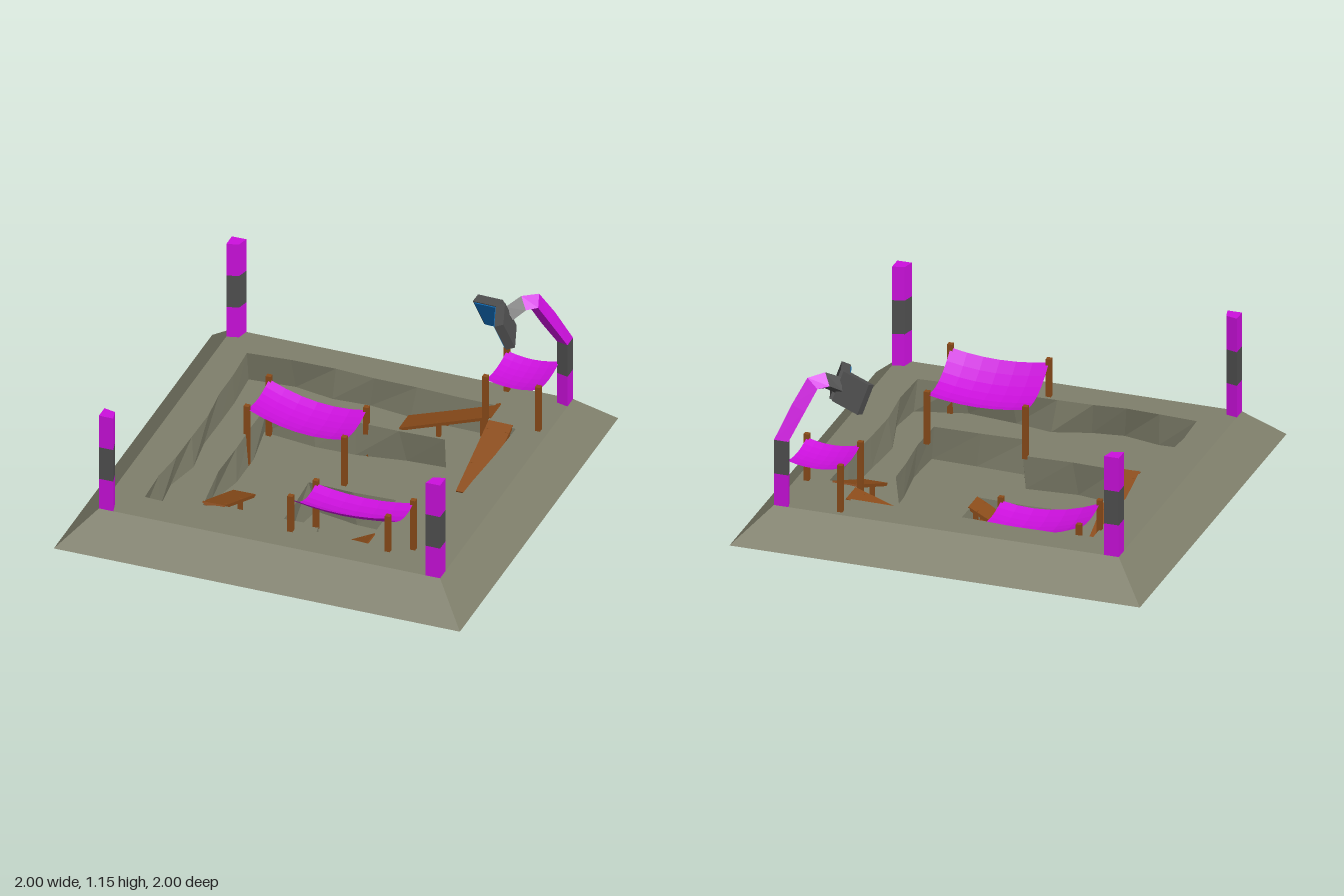
import * as THREE from 'three';

const mat = (color) => new THREE.MeshStandardMaterial({ color, flatShading: true, side: THREE.DoubleSide });
const stone = mat(0x7f7f6b), purple = mat(0xcc10dd), dark = mat(0x505050), wood = mat(0x8b4c1a), blue = mat(0x0f6ab4);

let seed = 7;
const rand = () => (seed = (seed * 16807) % 2147483647) / 2147483647 - 0.5;

function add(parent, name, geometry, material, x = 0, y = 0, z = 0) {
  const m = new THREE.Mesh(geometry, material);
  m.name = name;
  m.position.set(x, y, z);
  parent.add(m);
  return m;
}

// Joins equal-sized rings of [x, y, z] points with quads
function loft(rings, caps = false) {
  const n = rings[0].length, index = [];
  for (let r = 0; r < rings.length - 1; r++) {
    for (let i = 0; i < n; i++) {
      const a = r * n + i, b = r * n + (i + 1) % n;
      index.push(a, b, a + n, b, b + n, a + n);
    }
  }
  if (caps) {
    for (const o of [0, (rings.length - 1) * n]) for (let i = 1; i < n - 1; i++) index.push(o, o + i, o + i + 1);
  }
  const g = new THREE.BufferGeometry();
  g.setAttribute('position', new THREE.Float32BufferAttribute(rings.flat(2), 3));
  g.setIndex(index);
  g.computeVertexNormals();
  return g;
}

// Flat floor from an [x, z] outline with an optional hole
function floor(outline, hole) {
  const pts = (o) => o.map(([x, z]) => new THREE.Vector2(x, -z));
  const s = new THREE.Shape(pts(outline));
  if (hole) s.holes.push(new THREE.Path(pts(hole)));
  return new THREE.ShapeGeometry(s).rotateX(-Math.PI / 2);
}

const square = (r) => [[-r, -r], [r, -r], [r, r], [-r, r]];
const at = (outline, y) => outline.map(([x, z]) => [x, y, z]);

// Splits long edges of an outline and roughens them
function rough(outline, amount) {
  const out = [];
  outline.forEach(([x, z], i) => {
    const [x2, z2] = outline[(i + 1) % outline.length];
    const n = Math.max(1, Math.round(Math.hypot(x2 - x, z2 - z) / 0.22));
    for (let k = 0; k < n; k++) {
      const t = k / n, j = k ? amount : 0;
      out.push([x + (x2 - x) * t + rand() * j, z + (z2 - z) * t + rand() * j]);
    }
  });
  return out;
}

function buildPit(g) {
  const rims = [
    [[-0.7, -0.67], [-0.27, -0.69], [0.53, -0.66], [0.54, -0.53], [0.69, -0.5], [0.67, 0], [0.68, 0.67], [0, 0.67], [-0.33, 0.69], [-0.68, 0.67], [-0.67, 0.1]],
    [[-0.54, -0.53], [0.54, -0.53], [0.53, -0.1], [0.55, 0.53], [0.09, 0.54], [0.06, 0.37], [-0.4, 0.37], [-0.5, 0.4], [-0.54, 0.1]],
    [[-0.22, -0.22], [0.21, -0.22], [0.22, 0.22], [-0.21, 0.22]],
  ].map((r) => rough(r, 0.025));
  const levels = [0.54, 0.38, 0.21, 0.04];
  add(g, 'outerSlope', loft([at(square(1), 0.38), at(square(0.84), 0.54)]), stone);
  let outline = square(0.84);
  rims.forEach((rim, i) => {
    add(g, 'terrace', floor(outline, rim), stone, 0, levels[i], 0);
    const base = rim.map(([x, z]) => [x * 1.02 + rand() * 0.06, z * 1.02 + rand() * 0.06]);
    add(g, 'pitWall', loft([at(rim, levels[i]), at(base, levels[i + 1])]), stone);
    outline = base;
  });
  add(g, 'pitBottom', floor(outline), stone, 0, levels[3], 0);
}

// Sagging cloth; heights are [-x-z, +x-z, -x+z, +x+z]
function canopy(g, x0, x1, z0, z1, h, sagX, sagZ, base, skip = -1) {
  const c = new THREE.Group();
  c.name = 'canopy';
  const geo = new THREE.PlaneGeometry(1, 1, 6, 6).rotateX(-Math.PI / 2), p = geo.attributes.position;
  for (let i = 0; i < p.count; i++) {
    const u = p.getX(i) + 0.5, v = p.getZ(i) + 0.5;
    const y = (h[0] * (1 - u) + h[1] * u) * (1 - v) + (h[2] * (1 - u) + h[3] * u) * v;
    p.setXYZ(i, x0 + (x1 - x0) * u, y - 4 * sagX * u * (1 - u) - 4 * sagZ * v * (1 - v), z0 + (z1 - z0) * v);
  }
  geo.computeVertexNormals();
  add(c, 'cloth', geo, purple);
  [[x0, z0], [x1, z0], [x0, z1], [x1, z1]].forEach(([x, z], i) => {
    if (i === skip) return;
    const top = h[i] + 0.02;
    add(c, 'canopyPost', new THREE.BoxGeometry(0.025, top - base, 0.025), wood, x, (top + base) / 2, z);
  });
  g.add(c);
}

// Plank walkway between two points, with pegs under it
function ramp(g, from, to, width) {
  const a = new THREE.Vector3(...from), b = new THREE.Vector3(...to);
  const r = new THREE.Group();
  r.name = 'ramp';
  const plank = add(r, 'plank', new THREE.BoxGeometry(width, 0.015, a.distanceTo(b)), wood);
  plank.position.copy(a).lerp(b, 0.5);
  plank.lookAt(b);
  const side = new THREE.Vector3(b.z - a.z, 0, a.x - b.x).normalize().multiplyScalar(width * 0.4);
  for (const t of [0.42, 0.9]) {
    for (const s of [-1, 1]) {
      const p = a.clone().lerp(b, t).addScaledVector(side, s);
      add(r, 'rampPeg', new THREE.BoxGeometry(0.02, 0.1, 0.02), wood, p.x, p.y - 0.045, p.z);
    }
  }
  g.add(r);
}

// Corner pillar section: s moves towards the centre, tilt leans it over
const section = ([s, y, tilt = 0, k = 1]) => [[0, 0], [0.05, 0.05], [0, 0.08], [-0.05, 0.05]]
  .map(([w, n]) => [w * k, y - n * k * Math.sin(tilt), s + n * k * Math.cos(tilt)]);

function pillar(g, sx, sz, stations, colors) {
  const p = new THREE.Group();
  p.name = 'cornerPillar';
  p.position.set(sx * 0.84, 0, sz * 0.84);
  p.rotation.y = Math.atan2(-sx, -sz);
  colors.forEach((c, i) => add(p, 'pillarSegment', loft([section(stations[i]), section(stations[i + 1])], true), c));
  g.add(p);
  return p;
}

export function createModel() {
  const g = new THREE.Group();
  g.name = 'terracedPit';
  buildPit(g);

  canopy(g, 0.05, 0.53, 0.38, 0.7, [0.61, 0.61, 0.71, 0.71], 0.025, 0.05, 0.365);
  canopy(g, -0.54, -0.06, -0.54, -0.26, [0.51, 0.45, 0.51, 0.45], 0.04, 0.025, 0.2);
  canopy(g, 0.53, 0.79, -0.8, -0.53, [0.755, 0.755, 0.755, 0.755], 0.02, 0.02, 0.365, 1);

  ramp(g, [0.1, 0.38, -0.61], [0.55, 0.54, -0.61], 0.13);
  ramp(g, [0.6, 0.38, -0.13], [0.61, 0.54, -0.52], 0.12);
  ramp(g, [-0.46, 0.21, -0.02], [-0.455, 0.38, 0.38], 0.11);
  ramp(g, [-0.12, 0.03, 0.155], [0.23, 0.21, 0.155], 0.12);

  // Three straight pillars and one bent over the pit
  const straight = [[0, 0.54], [0, 0.7], [0, 0.87], [0, 1.04]];
  for (const [sx, sz] of [[-1, -1], [-1, 1], [1, 1]]) pillar(g, sx, sz, straight, [purple, dark, purple]);
  const bent = [...straight.slice(0, 3), [0.09, 1.03, 0.5], [0.17, 1.15, 1.0], [0.26, 1.16, 1.6], [0.34, 1.12, 1.9]];
  const arch = pillar(g, 1, -1, bent, [purple, dark, purple, purple, purple, dark]);

  // Two-winged head at the tip of the bent pillar
  const head = new THREE.Group();
  head.name = 'archHead';
  head.position.set(0, 1.07, 0.35);
  head.rotation.x = 0.4;
  for (const s of [-1, 1]) {
    const wing = new THREE.Group();
    wing.name = 'headWing';
    wing.position.set(s * 0.068, 0, 0.02);
    wing.rotation.y = -s * 0.5;
    add(wing, 'wingShell', new THREE.BoxGeometry(0.15, 0.15, 0.045), dark);
    add(wing, 'wingPanel', new THREE.BoxGeometry(0.13, 0.14, 0.008), blue, 0, 0, 0.024);
    head.add(wing);
  }
  arch.add(head);
  return g;
}
